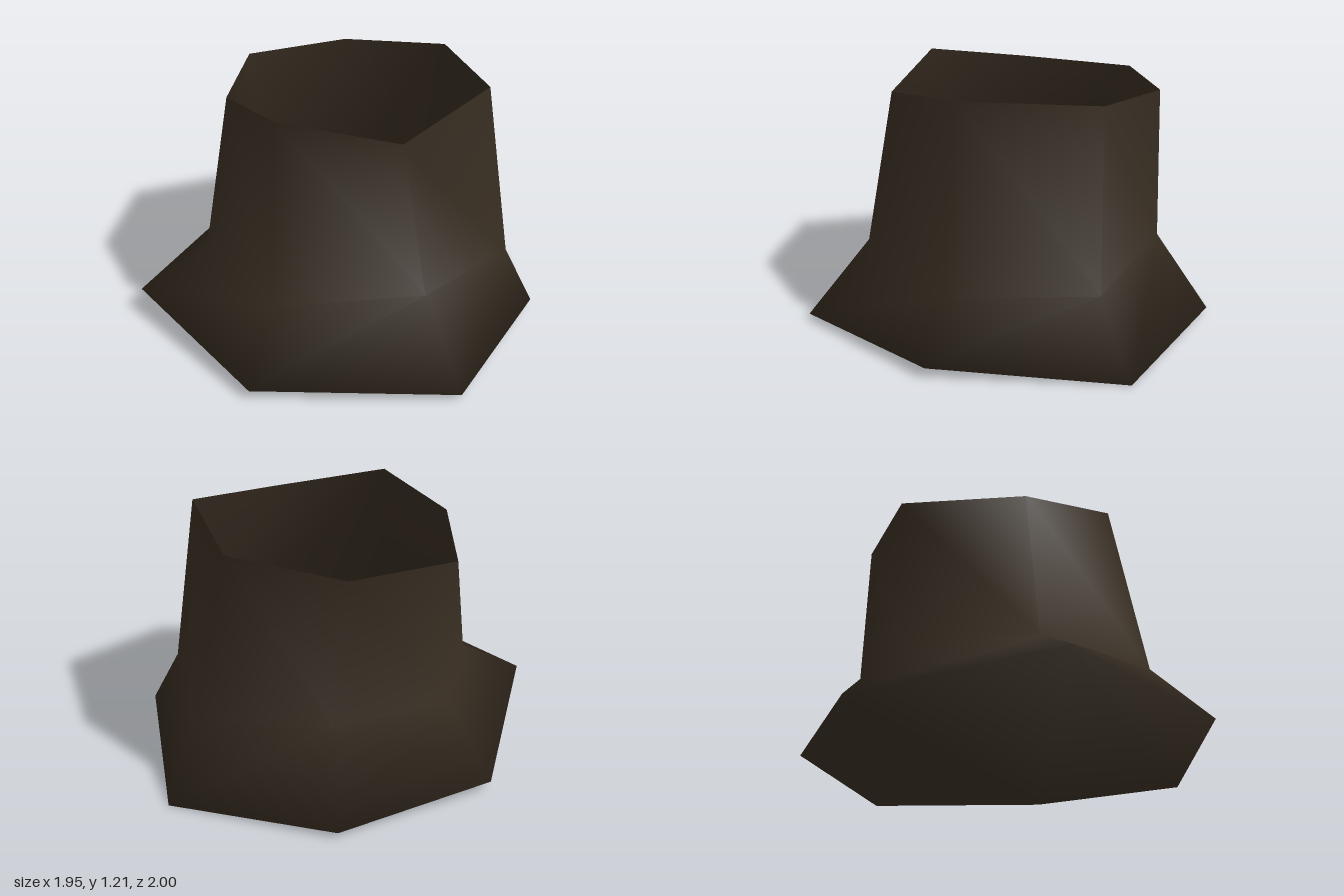
import * as THREE from 'three';

// Seven-sided rings from root flare to broken rim, each point [x, y, z]
const rings = [
  // root flare on the ground
  [[-0.18, 0.03, -1], [0.64, 0, -0.88], [0.97, 0.05, -0.02], [0.72, 0.03, 0.78], [-0.23, 0.05, 1], [-0.98, 0.13, 0.46], [-0.85, 0.05, -0.54]],
  // where the trunk begins
  [[-0.12, 0.41, -0.74], [0.55, 0.355, -0.69], [0.82, 0.33, -0.03], [0.5, 0.39, 0.55], [-0.2, 0.33, 0.72], [-0.675, 0.33, 0.28], [-0.62, 0.37, -0.355]],
  // uneven open rim
  [[-0.18, 1.13, -0.7], [0.38, 1.18, -0.62], [0.68, 1.21, -0.04], [0.36, 1.12, 0.47], [-0.2, 1.21, 0.56], [-0.55, 1.135, 0.2], [-0.63, 1.12, -0.395]],
];

// Smooth normals, each face weighted by its corner angle
function angleWeightedNormals(points, index) {
  const normals = points.map(() => new THREE.Vector3());
  for (let f = 0; f < index.length; f += 3) {
    const corners = index.slice(f, f + 3);
    for (let k = 0; k < 3; k++) {
      const p = points[corners[k]];
      const u = points[corners[(k + 1) % 3]].clone().sub(p);
      const v = points[corners[(k + 2) % 3]].clone().sub(p);
      const faceNormal = u.clone().cross(v).normalize();
      normals[corners[k]].addScaledVector(faceNormal, u.angleTo(v));
    }
  }
  return normals.flatMap((normal) => normal.normalize().toArray());
}

function shellGeometry() {
  const n = rings[0].length;
  // underside, sharing its corners with the flare so it shades smoothly
  const index = [3, 4, 5, 2, 3, 5, 2, 5, 6, 1, 2, 6, 0, 1, 6];
  for (let i = 0; i < n; i++) {
    const j = (i + 1) % n;
    // root flare
    index.push(j, i, n + i, j, n + i, n + j);
    // trunk, split along the other diagonal
    index.push(n + j, n + i, 2 * n + j, n + i, 2 * n + i, 2 * n + j);
  }

  const points = rings.flat().map((p) => new THREE.Vector3(...p));
  const geometry = new THREE.BufferGeometry().setFromPoints(points);
  geometry.setAttribute('normal', new THREE.Float32BufferAttribute(angleWeightedNormals(points, index), 3));
  geometry.setIndex(index);
  return geometry;
}

export function createModel() {
  const group = new THREE.Group();
  group.name = 'hollowStump';
  const bark = new THREE.MeshStandardMaterial({ color: 0x352b20, side: THREE.DoubleSide });
  bark.name = 'dark bark';
  const stump = new THREE.Mesh(shellGeometry(), bark);
  stump.name = 'stumpShell';
  group.add(stump);
  return group;
}
